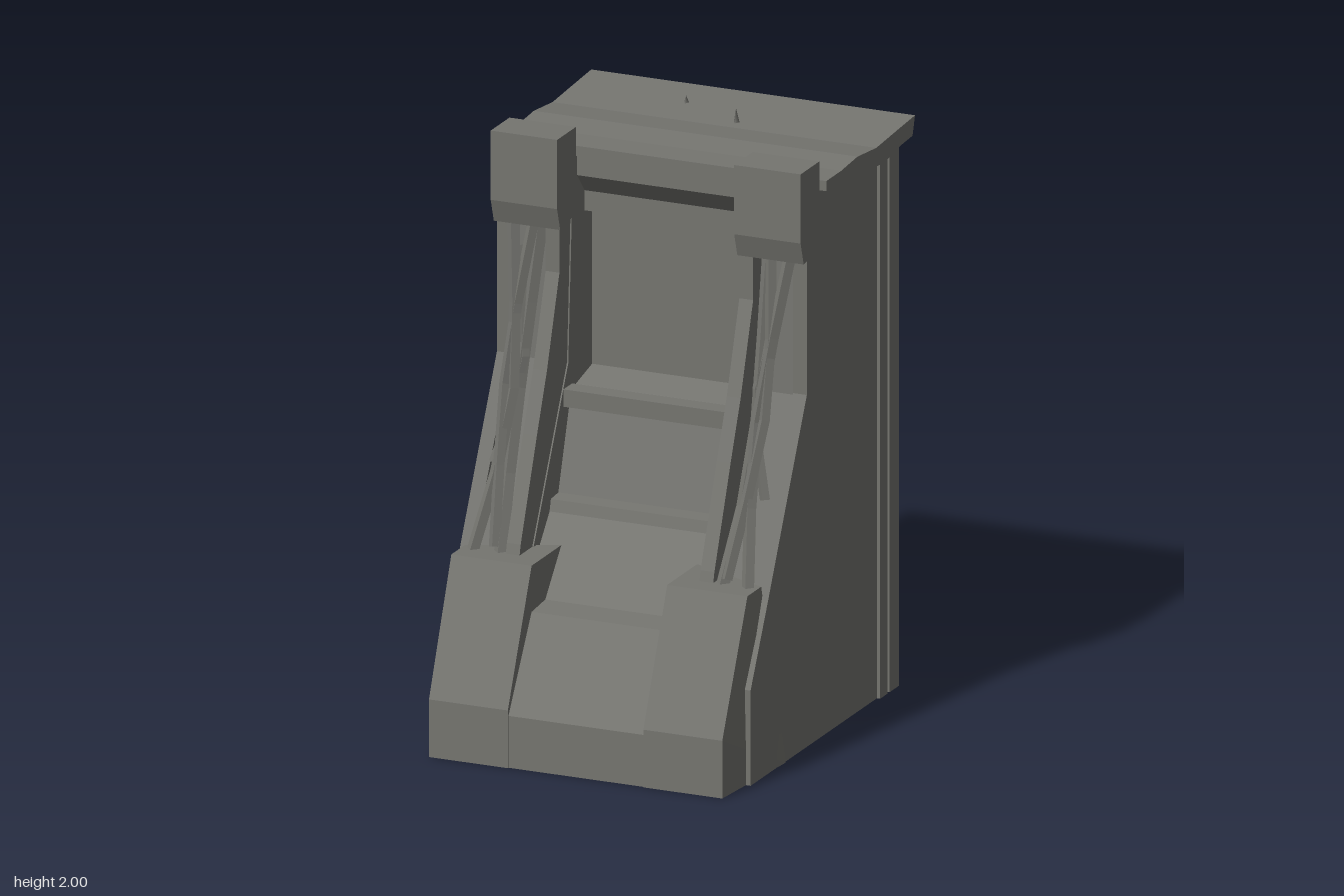
import * as THREE from 'three';

export function createModel() {
  const model = new THREE.Group();
  model.name = 'stoneShrine';
  const stone = new THREE.MeshStandardMaterial({ color: 0x757570 });
  stone.name = 'grey stone';

  const add = (name, geo) => {
    const mesh = new THREE.Mesh(geo, stone);
    mesh.name = name;
    model.add(mesh);
    return mesh;
  };
  // Side profile of [z, y] points, extruded across x from xa to xb
  const slab = (name, pts, xa, xb, rule) => {
    const shape = new THREE.Shape(pts.map(([z, y]) => new THREE.Vector2(z, y)));
    const geo = new THREE.ExtrudeGeometry(shape, { depth: Math.abs(xb - xa), bevelEnabled: false });
    geo.rotateY(-Math.PI / 2);
    geo.translate(Math.max(xa, xb), 0, 0);
    if (rule) {
      const p = geo.attributes.position;
      const v = new THREE.Vector3();
      for (let i = 0; i < p.count; i++) {
        rule(v.fromBufferAttribute(p, i));
        p.setXYZ(i, v.x, v.y, v.z);
      }
      geo.computeVertexNormals();
    }
    return add(name, geo);
  };
  const box = (name, x0, x1, y0, y1, z0, z1) => {
    const geo = new THREE.BoxGeometry(Math.abs(x1 - x0), y1 - y0, z1 - z0);
    geo.translate((x0 + x1) / 2, (y0 + y1) / 2, (z0 + z1) / 2);
    return add(name, geo);
  };

  // Centre: front step, sloped panels, deep niche and lintel
  slab('centreCore', [
    [-0.585, 0], [0.705, 0], [0.705, 0.18], [0.52, 0.485], [0.41, 0.495], [0.21, 0.73],
    [0.2, 0.77], [0.14, 0.775], [0.05, 1.06], [0.0, 1.11], [-0.13, 1.14], [-0.13, 1.69],
    [-0.07, 1.69], [-0.07, 1.76], [-0.01, 1.83], [-0.01, 1.92], [-0.585, 1.9],
  ], -0.33, 0.33);
  box('crossBar', -0.325, 0.325, 1.06, 1.12, 0.03, 0.1);

  // Slightly sagging roof slab with an upturned back edge
  slab('roof', [
    [0, 1.9], [0, 1.935], [-0.12, 1.935], [-0.25, 1.945], [-0.4, 1.93], [-0.55, 1.94],
    [-0.71, 1.95], [-0.69, 1.885], [-0.6, 1.88], [-0.47, 1.86], [-0.2, 1.88],
  ], -0.585, 0.585);
  for (const [x, z, h] of [[-0.17, -0.55, 0.03], [0.06, -0.44, 0.05]]) {
    const spike = add('roofSplinter', new THREE.ConeGeometry(0.012, h, 3));
    spike.position.set(x, 1.935 + h / 2, z);
  }

  // Lintel on the back
  slab('backLintel', [[-0.58, 1.73], [-0.58, 1.88], [-0.65, 1.88], [-0.64, 1.77]], -0.33, 0.33);

  for (const s of [-1, 1]) {
    // Side wall
    slab('sideWall', [
      [-0.59, 0], [0.55, 0], [0.55, 0.33], [0.41, 0.6], [0.1, 1.22], [0.1, 1.72],
      [0, 1.76], [0, 1.9], [-0.59, 1.87],
    ], s * 0.51, s * 0.56);
    // Recessed infill behind the branches
    slab('wallInfill', [
      [-0.58, 0], [0.5, 0], [0.36, 0.6], [0.06, 1.2], [0.03, 1.74], [0, 1.9], [-0.58, 1.87],
    ], s * 0.32, s * 0.52);
    // Inner rail beside the niche
    slab('innerRail', [
      [0.3, 0.5], [0.45, 0.6], [0.43, 0.68], [0.3, 1.02], [0.22, 1.22], [0.12, 1.53],
      [0.12, 1.74], [0, 1.74], [0.02, 1.2],
    ], s * 0.325, s * 0.375);
    // Capped pillar head, narrowing underneath
    slab('pillarCap', [
      [0, 1.7], [0.125, 1.68], [0.15, 1.76], [0.15, 2], [0, 2],
    ], s * 0.32, s * 0.56);
    // Front foot block, tapered towards the front
    slab('footBlock', [
      [0.28, 0], [0.71, 0], [0.71, 0.2], [0.52, 0.645], [0.28, 0.645],
    ], s * 0.245, s * 0.565, (v) => {
      if (Math.abs(v.x) > 0.4) {
        if (v.z > 0.6) v.x = s * 0.53;
        else if (v.y > 0.6) {
          v.x = s * 0.535;
          v.z = Math.max(v.z, 0.41);
        }
      }
    });
    // Corner posts at the back
    box('cornerPost', s * 0.35, s * 0.572, 0, 1.88, -0.612, -0.535);
    box('sidePost', s * 0.5, s * 0.572, 0, 1.87, -0.52, -0.46);

    // Rough branches crossing the recess, each a path of [x, y, z]
    const branches = [
      [[0.4, 0.62, 0.43], [0.43, 1.02, 0.25], [0.41, 1.7, 0.07]],
      [[0.5, 0.62, 0.44], [0.44, 1.1, 0.25], [0.5, 1.7, 0.1]],
      [[0.42, 0.66, 0.43], [0.47, 1.22, 0.22], [0.43, 1.68, 0.1]],
      [[0.49, 0.9, 0.28], [0.42, 1.2, 0.2], [0.48, 1.6, 0.1]],
    ];
    branches.forEach((path, i) => {
      const curve = new THREE.CatmullRomCurve3(
        path.map(([x, y, z]) => new THREE.Vector3(s * x, y, z)));
      const geo = new THREE.TubeGeometry(curve, 4, 0.024 - i * 0.002, 4).toNonIndexed();
      geo.computeVertexNormals();
      add('branch', geo);
    });
  }
  return model;
}
